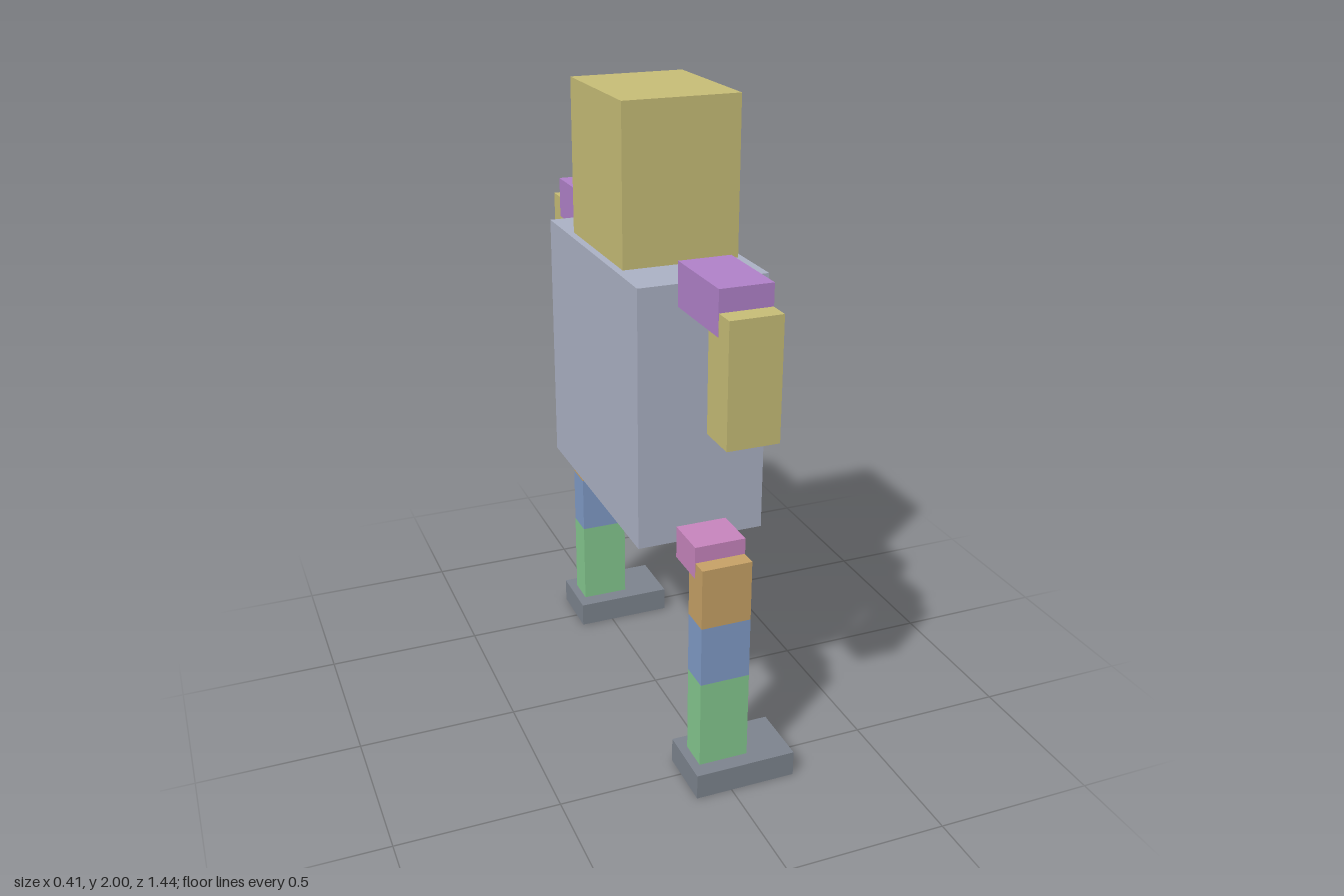
import * as THREE from 'three';

const paint = (name, color) => {
  const m = new THREE.MeshStandardMaterial({ color });
  m.name = name;
  return m;
};

export function createModel() {
  const yellow = paint('yellow', 0xc9bf78);
  const greyBlue = paint('greyBlue', 0xadb3c6);
  const purple = paint('purple', 0xb283cb);
  const pink = paint('pink', 0xc986bf);
  const orange = paint('orange', 0xc9a367);
  const blue = paint('blue', 0x829dc9);
  const green = paint('green', 0x86ca90);
  const darkGrey = paint('darkGrey', 0x7e858f);

  // Box from its minimum and maximum along each axis
  const block = (name, material, [x0, x1], [y0, y1], [z0, z1]) => {
    const mesh = new THREE.Mesh(new THREE.BoxGeometry(x1 - x0, y1 - y0, z1 - z0), material);
    mesh.position.set((x0 + x1) / 2, (y0 + y1) / 2, (z0 + z1) / 2);
    mesh.name = name;
    return mesh;
  };

  const model = new THREE.Group();
  model.name = 'blockRobot';
  model.add(
    block('head', yellow, [-0.183, 0.172], [1.53, 2], [-0.216, 0.214]),
    block('torso', greyBlue, [-0.205, 0.188], [0.74, 1.53], [-0.385, 0.385]),
  );

  // Limbs: the joints are a hair wider than the parts they overlap
  const limbX = [-0.085, 0.07];
  const jointX = [-0.086, 0.071];
  const legZ = [0.48, 0.576];
  const limbs = [
    ['shoulder', purple, jointX, [1.465, 1.595], [0.385, 0.655]],
    ['arm', yellow, limbX, [1.17, 1.53], [0.592, 0.72]],
    ['hip', pink, jointX, [0.69, 0.79], [0.385, 0.525]],
    ['thigh', orange, limbX, [0.55, 0.74], legZ],
    ['knee', blue, limbX, [0.36, 0.55], legZ],
    ['shin', green, limbX, [0.08, 0.36], legZ],
    ['foot', darkGrey, [-0.113, 0.205], [0, 0.08], [0.428, 0.625]],
  ];
  for (const [name, material, x, y, [z0, z1]] of limbs) {
    model.add(
      block(name + 'Front', material, x, y, [z0, z1]),
      block(name + 'Back', material, x, y, [-z1, -z0]),
    );
  }
  return model;
}
